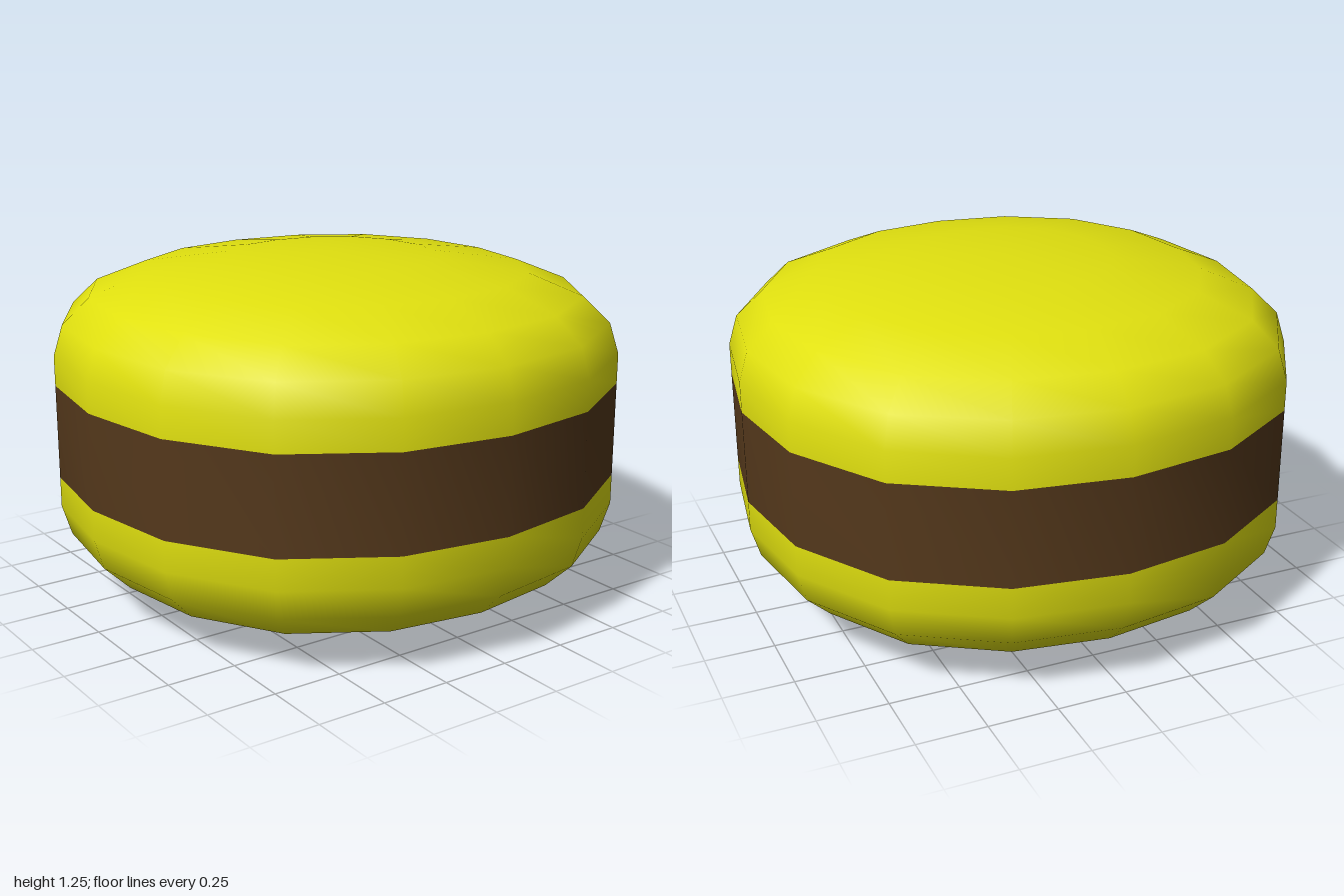
import * as THREE from 'three';
import { mergeVertices } from 'three/addons/utils/BufferGeometryUtils.js';

const SIDES = 16;
const HEIGHT = 1.255; // bottom shell mirrors the top one about half of this

// Sixteen-sided lathe, widened a little towards the diagonals, with smooth normals.
function roundedLathe(profile) {
  const points = profile.map(([r, y]) => new THREE.Vector2(r, y));
  const geometry = new THREE.LatheGeometry(points, SIDES);
  const pos = geometry.attributes.position;
  for (let i = 0; i < pos.count; i++) {
    const x = pos.getX(i), z = pos.getZ(i);
    const widen = 1 + 0.033 * Math.sin(2 * Math.atan2(z, x)) ** 2;
    pos.setXYZ(i, x * widen, pos.getY(i), z * widen);
  }
  geometry.deleteAttribute('uv');
  geometry.deleteAttribute('normal');
  const merged = mergeVertices(geometry, 1e-4);
  merged.computeVertexNormals();
  return merged;
}

export function createModel() {
  const model = new THREE.Group();
  model.name = 'macaron';
  const shellMaterial = new THREE.MeshStandardMaterial({ color: 0xe0e00f });
  const fillingMaterial = new THREE.MeshStandardMaterial({ color: 0x54381b });

  const add = (name, profile, material) => {
    const mesh = new THREE.Mesh(roundedLathe(profile), material);
    mesh.name = name;
    model.add(mesh);
  };

  // Domed shell profile, from the filling up to the crown
  const dome = [
    [1, 0.8], [1, 0.91], [0.967, 1.02], [0.872, 1.113],
    [0.685, 1.19], [0.375, 1.235], [0, 1.25],
  ];
  add('topShell', dome, shellMaterial);
  add('bottomShell', dome.map(([r, y]) => [r, HEIGHT - y]).reverse(), shellMaterial);

  // Filling, flush with both shells
  add('filling', [[1, HEIGHT - 0.8], [1, 0.8]], fillingMaterial);

  return model;
}
